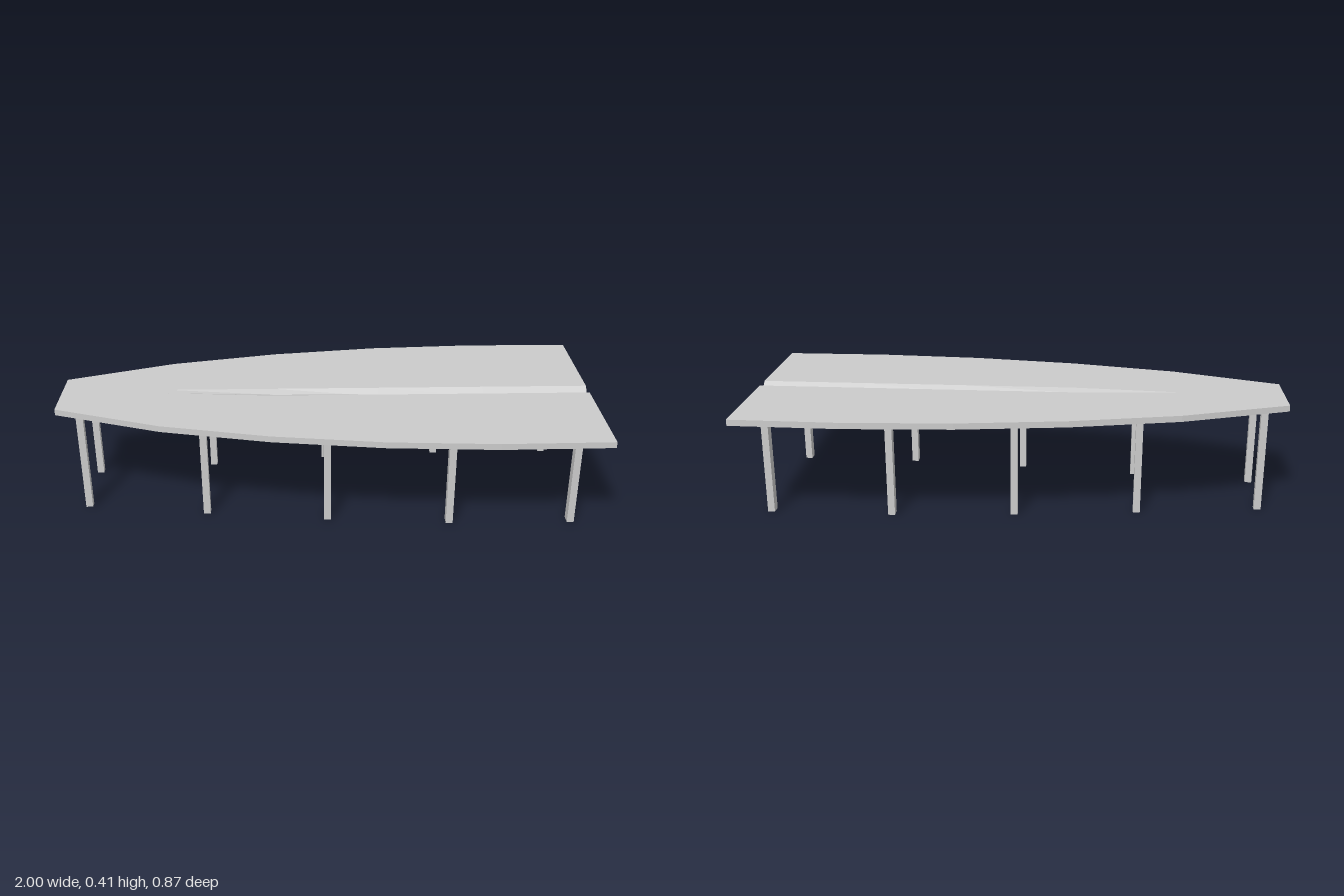
import * as THREE from 'three';

const TOP = 0.41, BOTTOM = 0.387;
const material = new THREE.MeshStandardMaterial({ color: 0xcccccc, flatShading: true });

// Stations along the table: [x, half width, groove depth, keel depth]
const STATIONS = [
  [-1.0, 0.13, 0, 0],
  [-0.6, 0.273, 0, 0.022],
  [-0.2, 0.36, 0.011, 0.022],
  [0.2, 0.413, 0.022, 0.022],
  [0.6, 0.435, 0.024, 0.022],
  [1.0, 0.43, 0.024, 0.022],
];

// Closed section: grooved top from back to front, keeled underside returning
function section([x, w, groove, keel]) {
  const g = 0.03, k = 0.04;
  return [
    [-w, TOP], [-g, TOP], [0, TOP - groove], [g, TOP], [w, TOP],
    [w, BOTTOM], [k, BOTTOM], [0, BOTTOM - keel], [-k, BOTTOM], [-w, BOTTOM],
  ].map(([z, y]) => [x, y, z]);
}

function slabGeometry() {
  const rings = STATIONS.map(section);
  const n = rings[0].length;
  const position = [];
  const quad = (a, b, c, d) => position.push(...a, ...b, ...c, ...a, ...c, ...d);

  // Skin between neighbouring sections
  for (let i = 0; i < rings.length - 1; i++) {
    for (let j = 0; j < n; j++) {
      const k = (j + 1) % n;
      quad(rings[i][j], rings[i][k], rings[i + 1][k], rings[i + 1][j]);
    }
  }
  // End faces
  const first = rings[0], last = rings[rings.length - 1];
  for (let j = 0; j < n / 2 - 1; j++) {
    quad(last[j], last[j + 1], last[n - 2 - j], last[n - 1 - j]);
    quad(first[n - 1 - j], first[n - 2 - j], first[j + 1], first[j]);
  }

  const geometry = new THREE.BufferGeometry();
  geometry.setAttribute('position', new THREE.Float32BufferAttribute(position, 3));
  geometry.computeVertexNormals();
  return geometry;
}

export function createModel() {
  const model = new THREE.Group();
  model.name = 'table';

  const top = new THREE.Mesh(slabGeometry(), material);
  top.name = 'tableTop';
  model.add(top);

  // Mirrored legs following the outline: [x, z, depth]
  const legs = new THREE.Group();
  legs.name = 'legs';
  const rows = [
    [-0.91, 0.133, 0.024],
    [-0.455, 0.191, 0.028],
    [0, 0.242, 0.031],
    [0.455, 0.275, 0.035],
    [0.91, 0.277, 0.036],
  ];
  for (const [x, z, depth] of rows) {
    for (const side of [1, -1]) {
      const leg = new THREE.Mesh(new THREE.BoxGeometry(0.026, BOTTOM, depth), material);
      leg.name = side > 0 ? 'frontLeg' : 'backLeg';
      leg.position.set(x, BOTTOM / 2, side * z);
      legs.add(leg);
    }
  }
  model.add(legs);
  return model;
}
